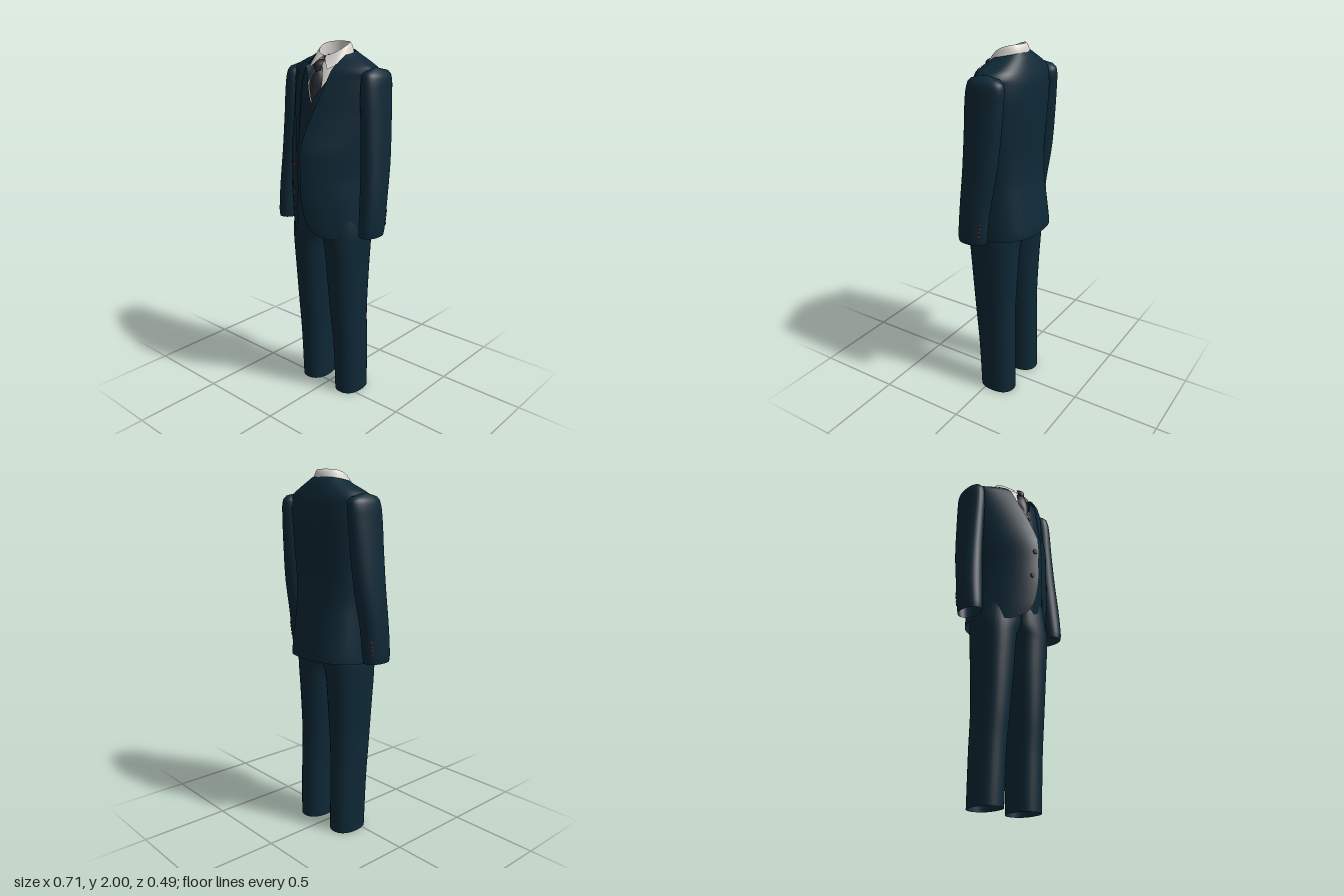
import * as THREE from 'three';

const material = (name, color) => Object.assign(
  new THREE.MeshStandardMaterial({ color, side: THREE.DoubleSide }), { name });

// Smooth lookup of a row [key, a, b, ...] in a table sorted by key
function sample(table, key) {
  const last = table.length - 1;
  let i = 0;
  while (i < last - 1 && key > table[i + 1][0]) i++;
  const p = table[i], q = table[i + 1];
  const o = table[Math.max(i - 1, 0)], r = table[Math.min(i + 2, last)];
  const h = q[0] - p[0], t = THREE.MathUtils.clamp((key - p[0]) / h, 0, 1);
  return p.slice(1).map((v, k) => {
    const w = q[k + 1];
    const m0 = (w - o[k + 1]) / (q[0] - o[0]) * h, m1 = (r[k + 1] - v) / (r[0] - p[0]) * h;
    const t2 = t * t, t3 = t2 * t;
    return (2 * t3 - 3 * t2 + 1) * v + (t3 - 2 * t2 + t) * m0 + (3 * t2 - 2 * t3) * w + (t3 - t2) * m1;
  });
}

// Smooth surface from a rule point(u, v), both 0..1; closed joins the u ends
function surface(cols, rows, point, closed = false) {
  const pos = [], index = [], n = closed ? cols : cols + 1;
  for (let j = 0; j <= rows; j++)
    for (let i = 0; i < n; i++) pos.push(...point(i / cols, j / rows));
  for (let j = 0; j < rows; j++)
    for (let i = 0; i < cols; i++) {
      const a = j * n + i, b = j * n + (i + 1) % n;
      index.push(a, b, b + n, a, b + n, a + n);
    }
  const g = new THREE.BufferGeometry();
  g.setAttribute('position', new THREE.Float32BufferAttribute(pos, 3));
  g.setIndex(index);
  g.computeVertexNormals();
  return g;
}

const lerp = THREE.MathUtils.lerp;
const power = (v, p) => Math.sign(v) * Math.abs(v) ** p;

// Jacket: height, half width, front z, back z, front edge x, tilt
const JACKET = [
  [0.99, 0.238, 0.212, -0.24, 0.13, 0.08], [1.02, 0.238, 0.218, -0.238, 0.07, 0.07],
  [1.08, 0.236, 0.23, -0.23, 0.03, 0.04], [1.2, 0.23, 0.243, -0.212, 0.012, 0],
  [1.32, 0.226, 0.245, -0.195, 0.01, 0], [1.45, 0.234, 0.242, -0.19, 0.008, 0],
  [1.55, 0.243, 0.215, -0.194, 0.02, 0], [1.65, 0.25, 0.187, -0.2, 0.042, 0],
  [1.75, 0.258, 0.157, -0.203, 0.07, 0], [1.83, 0.262, 0.125, -0.196, 0.086, 0],
  [1.87, 0.262, 0.103, -0.182, 0.092, 0.02], [1.9, 0.2, 0.08, -0.165, 0.096, 0.08],
  [1.92, 0.145, 0.06, -0.15, 0.098, 0.15], [1.935, 0.113, 0.045, -0.135, 0.1, 0.2],
];
const CZ = -0.03, NF = 1.5, NB = 2.5;

function jacketPoint(u, v) {
  const y = lerp(0.99, 1.935, v), [w, f, b, e, tilt] = sample(JACKET, y);
  const s = u <= 0.5 ? 1 : -1, k = s > 0 ? u * 2 : 2 - u * 2;
  const a = lerp(Math.asin(Math.min(e / w, 1) ** (NF / 2)), Math.PI, k);
  const n = Math.cos(a) > 0 ? NF : NB;
  const x = s * w * power(Math.max(Math.sin(a), 0), 2 / n);
  const z = CZ + (n === NF ? f - CZ : CZ - b) * power(Math.cos(a), 2 / n);
  return [x, y - tilt * z, z];
}

// Point on the jacket front, raised by lift
function onJacket(x, y, lift) {
  const [w, f, , , tilt] = sample(JACKET, y);
  const z = CZ + (f - CZ) * Math.max(1 - Math.abs(x / w) ** NF, 0) ** (1 / NF);
  return [x, y - tilt * z, z + lift];
}

const VEST = [[1.04, 0.14], [1.3, 0.163], [1.5, 0.165], [1.7, 0.145], [1.8, 0.11], [1.9, 0.065]];
const vestZ = (x, y) => sample(VEST, y)[0] * (1 - (x / 0.24) ** 2);

// Trouser leg and sleeve: height, inner x, outer x, front z, back z
const LEG = [
  [0, 0.05, 0.208, 0.055, -0.155], [0.3, 0.045, 0.21, 0.07, -0.15],
  [0.5, 0.035, 0.211, 0.09, -0.145], [0.75, 0.018, 0.22, 0.11, -0.153],
  [0.93, 0.003, 0.228, 0.123, -0.163], [1, -0.03, 0.23, 0.125, -0.168],
  [1.15, -0.05, 0.21, 0.12, -0.165],
];
const SLEEVE = [
  [1.01, 0.245, 0.35, 0.08, -0.078], [1.04, 0.243, 0.355, 0.082, -0.082],
  [1.2, 0.235, 0.357, 0.07, -0.1], [1.4, 0.225, 0.347, 0.056, -0.135],
  [1.6, 0.215, 0.333, 0.05, -0.155], [1.75, 0.21, 0.322, 0.048, -0.165],
  [1.83, 0.21, 0.314, 0.038, -0.165], [1.865, 0.222, 0.298, 0.015, -0.14],
  [1.882, 0.258, 0.262, -0.05, -0.06],
];
function tube(table, side, rows, n) {
  const y0 = table[0][0], y1 = table[table.length - 1][0];
  return surface(32, rows, (u, v) => {
    const y = lerp(y0, y1, v), [xi, xo, zf, zb] = sample(table, y), a = u * Math.PI * 2;
    const x = (xi + xo) / 2 + (xo - xi) / 2 * power(Math.cos(a), 2 / n);
    return [side * Math.max(x, 0.001), y, (zf + zb) / 2 + (zf - zb) / 2 * power(Math.sin(a), 2 / n)];
  }, true);
}

export function createModel() {
  const model = new THREE.Group();
  const suit = material('navy cloth', 0x0e2836);
  const shirt = material('white shirt', 0xd9d6d0);
  const silk = material('charcoal silk', 0x2b2a32);
  const horn = material('brown button', 0x3b2a2c);
  const add = (name, geometry, mat) => {
    const mesh = new THREE.Mesh(geometry, mat);
    mesh.name = name;
    model.add(mesh);
    return mesh;
  };

  add('jacketBody', surface(72, 64, jacketPoint), suit);

  const LAPEL = [[1.46, 0.004], [1.6, 0.05], [1.76, 0.082], [1.84, 0.07], [1.9, 0.05]];
  for (const side of [1, -1]) {
    const label = side > 0 ? 'left' : 'right';
    add(label + 'Lapel', surface(6, 24, (u, v) => {
      const y = lerp(1.46, 1.9, v);
      return onJacket(side * (sample(JACKET, y)[3] + u * sample(LAPEL, y)[0]), y, 0.006);
    }), suit);
    add(label + 'PocketFlap', surface(6, 2, (u, v) =>
      onJacket(side * lerp(0.13, 0.21, u), lerp(1.235, 1.27, v) + u * 0.008, 0.007)), suit);
    add(label + 'Sleeve', tube(SLEEVE, side, 48, 2.2), suit);
    add(label + 'TrouserLeg', tube(LEG, side, 48, 2.3), suit);

    // Cuff buttons on the outer rear of the sleeve
    for (let i = 0; i < 4; i++) {
      const y = 1.07 + i * 0.022, [xi, xo, zf, zb] = sample(SLEEVE, y), a = -0.85;
      const button = add(label + 'CuffButton', new THREE.CylinderGeometry(0.008, 0.008, 0.008, 12), horn);
      button.position.set(side * ((xi + xo) / 2 + (xo - xi) / 2 * Math.cos(a) ** (2 / 2.2)), y,
        (zf + zb) / 2 - (zf - zb) / 2 * Math.sin(-a) ** (2 / 2.2));
      button.quaternion.setFromUnitVectors(new THREE.Vector3(0, 1, 0),
        new THREE.Vector3(side * 0.8, 0, -0.6));
    }
  }
  add('breastPocket', surface(4, 1, (u, v) =>
    onJacket(lerp(0.1, 0.17, u), lerp(1.61, 1.635, v) + u * 0.01, 0.005)), suit);

  // Waistcoat with a V neck and two points at the bottom
  add('waistcoat', surface(40, 32, (u, v) => {
    const x = lerp(-0.17, 0.17, u), ax = Math.abs(x);
    const y = lerp(1.06 + Math.abs(ax - 0.05) * 0.6, Math.min(1.7 + ax * 1.7, 1.87), v);
    return [x, y, vestZ(x, y)];
  }), suit);

  // Buttons down the front
  const frontButton = (name, r, [x, y, z]) => {
    const button = add(name, new THREE.CylinderGeometry(r, r, 0.01, 16), horn);
    button.rotation.x = Math.PI / 2;
    button.position.set(x, y, z);
  };
  for (const [x, y] of [[-0.03, 1.39], [-0.045, 1.235]])
    frontButton('jacketButton', 0.014, onJacket(x, y, 0.002));
  for (const y of [1.14, 1.47, 1.54, 1.61, 1.67])
    frontButton('waistcoatButton', 0.009, [0.008, y, vestZ(0, y) + 0.001]);

  // Shirt front
  const SHIRT = [[1.65, 0.13, 2], [1.75, 0.112, 2.5], [1.85, 0.075, 6], [1.92, 0.045, 9]];
  add('shirtFront', surface(16, 12, (u, v) => {
    const x = lerp(-0.1, 0.1, u), y = lerp(1.65, 1.92, v), [f, k] = sample(SHIRT, y);
    return [x, y, f - k * x * x];
  }), shirt);

  // Collar: a stand around the neck with a leaf folded over it
  const neck = (u, grow) => {
    const a = lerp(0.06, Math.PI * 2 - 0.06, u);
    const z = -0.04 + (0.078 + grow) * Math.cos(a);
    return new THREE.Vector3((0.082 + grow) * Math.sin(a), 2 - 2.6 * (z + 0.12) ** 2, z);
  };
  add('collarStand', surface(48, 4, (u, v) => {
    const p = neck(u, 0);
    return [p.x, p.y - 0.065 * (1 - v), p.z];
  }), shirt);
  const half = [[0.062, 1.868, 0.09], [0.1, 1.9, 0.025], [0.105, 1.93, -0.05], [0.066, 1.945, -0.118]]
    .map(p => new THREE.Vector3(...p));
  const leafEdge = new THREE.CatmullRomCurve3([...half, new THREE.Vector3(0, 1.95, -0.138),
    ...half.map(p => new THREE.Vector3(-p.x, p.y, p.z)).reverse()]);
  add('collarLeaf', surface(48, 6, (u, v) => {
    const p = neck(u, 0.004 * Math.min(v * 6, 1)), q = leafEdge.getPoint(u);
    p.lerp(q, v);
    return [p.x, p.y, p.z + 0.004 * Math.sin(v * Math.PI) * Math.sign(p.z + 0.04)];
  }), shirt);

  // Tie: height, half width, front z
  const strip = table => surface(10, 16, (u, v) => {
    const y = lerp(table[0][0], table[table.length - 1][0], v), [w, f] = sample(table, y);
    const x = lerp(-1, 1, u);
    return [x * w, y, f - 0.02 * x * x];
  });
  add('tieBlade', strip([[1.68, 0.004, 0.13], [1.72, 0.022, 0.138], [1.79, 0.043, 0.13],
    [1.83, 0.038, 0.118], [1.88, 0.016, 0.094]]), silk);
  add('tieKnot', strip([[1.852, 0.017, 0.106], [1.87, 0.023, 0.11], [1.9, 0.028, 0.1],
    [1.916, 0.024, 0.07]]), silk);

  return model;
}
